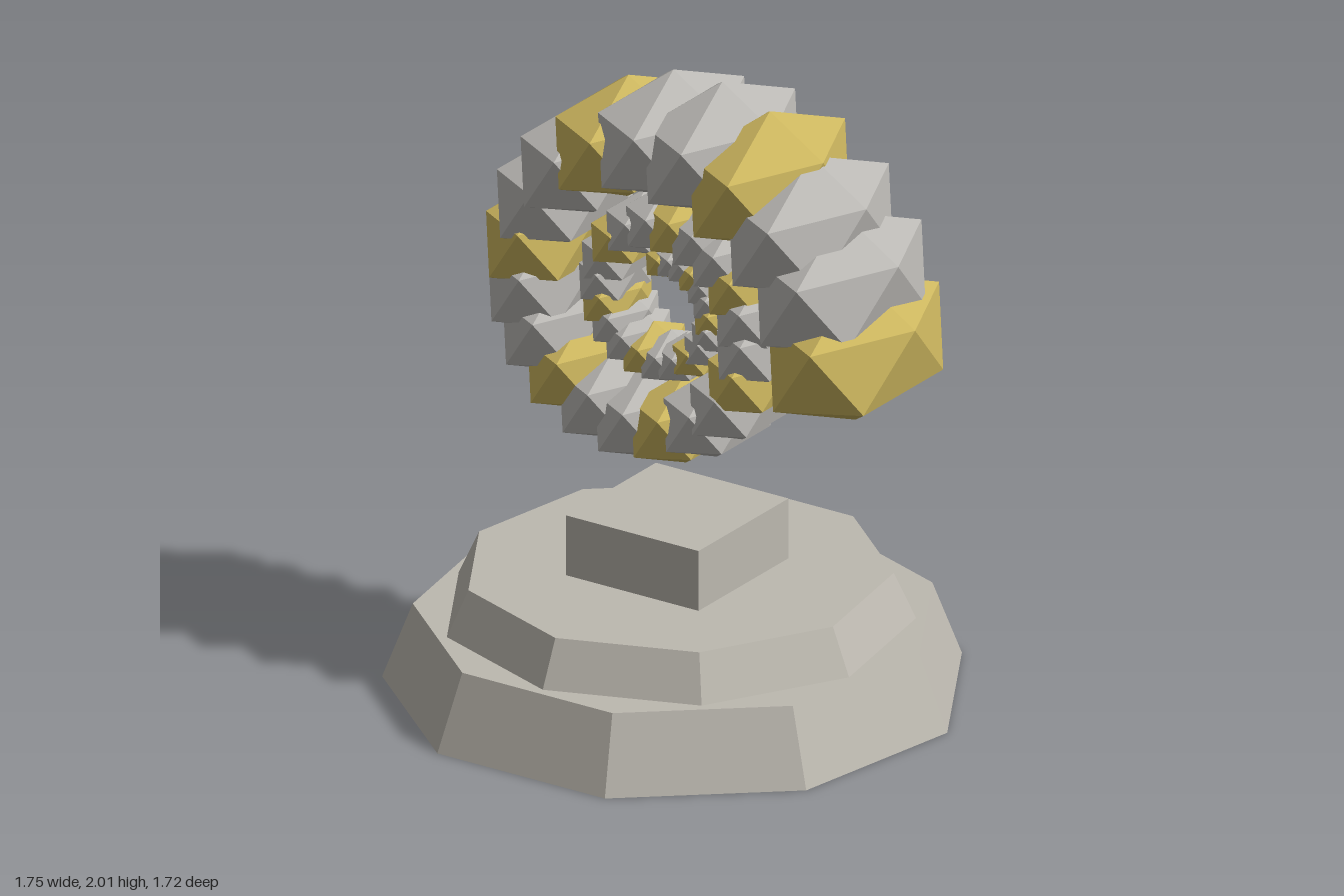
import * as THREE from 'three';

export function createModel() {
  const model = new THREE.Group();
  model.name = 'spiralShellOnPedestal';

  const mat = (name, color) => {
    const m = new THREE.MeshStandardMaterial({ color, flatShading: true });
    m.name = name;
    return m;
  };
  const stone = mat('stone', 0xbdb9b0);
  const shellGrey = mat('shellGrey', 0xb9b7b3);
  const gold = mat('gold', 0xcbb55e);

  const add = (name, geometry, material, parent = model) => {
    const mesh = new THREE.Mesh(geometry, material);
    mesh.name = name;
    parent.add(mesh);
    return mesh;
  };

  const zMid = 0.025;

  // Nine-sided pedestal steps, each turned against the other
  const step = (name, rTop, rBottom, y0, y1, turn) => {
    const m = add(name, new THREE.CylinderGeometry(rTop, rBottom, y1 - y0, 9), stone);
    m.position.set(0, (y0 + y1) / 2, zMid);
    m.rotation.y = turn;
  };
  step('lowerStep', 0.794, 0.886, 0, 0.24, Math.PI);
  step('upperStep', 0.65, 0.717, 0.24, 0.385, 0);

  // Square block on top
  add('topBlock', new THREE.BoxGeometry(0.48, 0.195, 0.48), stone).position.set(0, 0.4825, zMid);

  // Floating shell: segments shrink along a logarithmic spiral, every third one gold
  const shell = new THREE.Group();
  shell.name = 'spiralShell';
  shell.position.set(0, 1.259, zMid);
  model.add(shell);

  const segment = new THREE.IcosahedronGeometry(1, 0);
  for (let i = 0; i < 46; i++) {
    const angle = i * 0.32;
    const radius = 0.647 * Math.exp(-0.036 * i);
    const size = 0.238 * Math.pow(0.97, i);
    const m = add('shellSegment' + (i + 1), segment, i % 3 === 0 ? gold : shellGrey, shell);
    m.position.set(radius * Math.cos(angle), radius * Math.sin(angle), 0);
    m.rotation.z = THREE.MathUtils.degToRad(-32.3);
    m.scale.set(size, size, size * 1.7);
  }

  return model;
}
